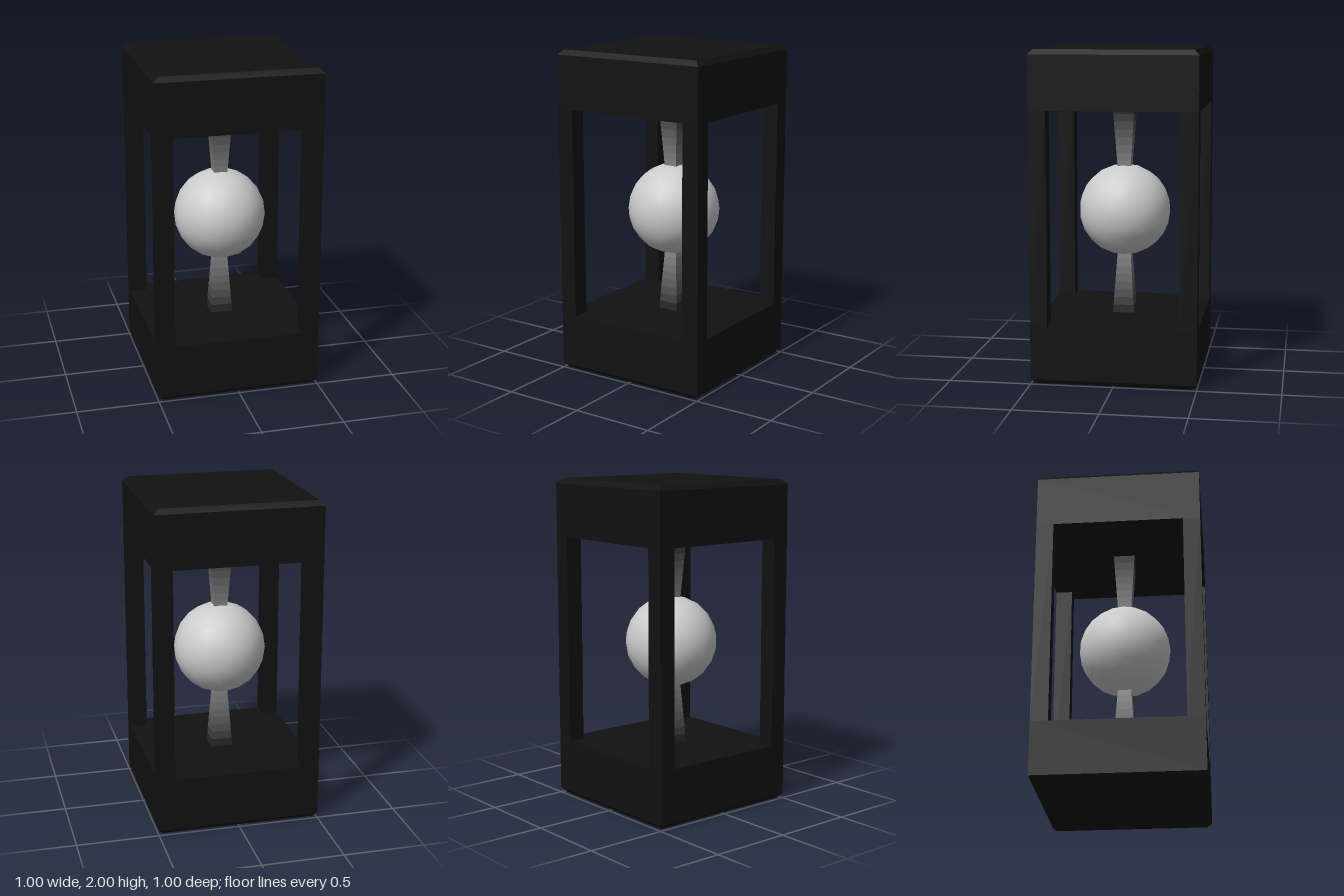
import * as THREE from 'three';

const BLACK = 0x111111;
const material = (color, flatShading = true) => new THREE.MeshStandardMaterial({ color, flatShading });

function part(name, geometry, mat) {
  const mesh = new THREE.Mesh(geometry, mat);
  mesh.name = name;
  return mesh;
}

// Square slab with a chamfered outer rim, standing on y = 0
function slabGeometry() {
  const profile = [[0, 0], [0.47, 0], [0.5, 0.03], [0.5, 0.355], [0, 0.355]]
    .map(([half, y]) => new THREE.Vector2(half * Math.SQRT2, y));
  return new THREE.LatheGeometry(profile, 4, Math.PI / 4);
}

// Square tapering stem, fading from black at the slab to grey at the ball
function createStem(name) {
  const stem = new THREE.Group();
  stem.name = name;
  const bands = 8, y0 = 0.355, height = 0.385 / bands;
  const halfWidth = (t) => THREE.MathUtils.lerp(0.067, 0.04, t) * Math.SQRT2;
  const dark = new THREE.Color(BLACK), light = new THREE.Color(0x888888);
  for (let i = 0; i < bands; i++) {
    const geometry = new THREE.CylinderGeometry(
      halfWidth((i + 1) / bands), halfWidth(i / bands), height, 4, 1, true, Math.PI / 4);
    geometry.translate(0, y0 + (i + 0.5) * height, 0);
    stem.add(part('stemBand', geometry, material(dark.clone().lerp(light, (i + 0.5) / bands))));
  }
  return stem;
}

export function createModel() {
  const model = new THREE.Group();
  model.name = 'framedBall';
  const black = material(BLACK);

  // Lower half, and the same turned over for the upper half
  for (const side of ['lower', 'upper']) {
    const half = new THREE.Group();
    half.name = side + 'Half';
    half.add(part(side + 'Slab', slabGeometry(), black), createStem(side + 'Stem'));
    if (side === 'upper') {
      half.rotation.x = Math.PI;
      half.position.y = 2;
    }
    model.add(half);
  }

  // Four corner posts
  for (const x of [-1, 1]) {
    for (const z of [-1, 1]) {
      const post = part('cornerPost', new THREE.BoxGeometry(0.105, 1.29, 0.105), black);
      post.position.set(x * 0.4475, 1, z * 0.4475);
      model.add(post);
    }
  }

  // Ball held between the stems
  const ball = part('ball', new THREE.IcosahedronGeometry(0.283, 3), material(0xcccccc, false));
  ball.position.y = 1;
  model.add(ball);

  return model;
}
